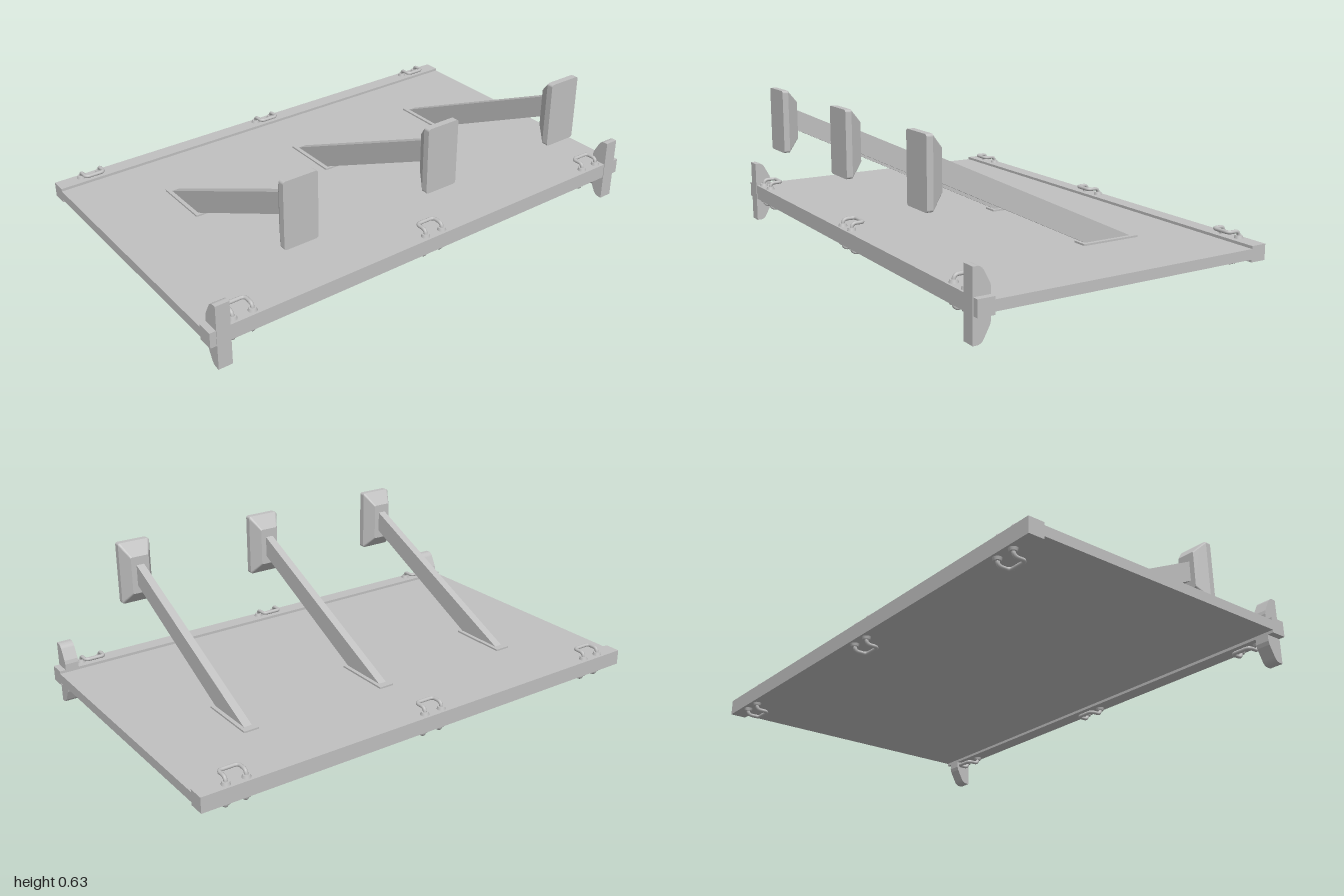
import * as THREE from 'three';

export function createModel() {
  const group = new THREE.Group();
  const grey = new THREE.MeshStandardMaterial({ color: 0xc0c0c0 });

  const add = (name, geo, x = 0, y = 0, z = 0, parent = group) => {
    const mesh = new THREE.Mesh(geo, grey);
    mesh.name = name;
    mesh.position.set(x, y, z);
    parent.add(mesh);
    return mesh;
  };

  // Extrude a (z, y) side profile across x, centred on x = 0
  const sideExtrude = (shape, width) => {
    const geo = new THREE.ExtrudeGeometry(shape, { depth: width, bevelEnabled: false, curveSegments: 8 });
    return geo.translate(0, 0, -width / 2).rotateY(-Math.PI / 2);
  };

  const roundedRect = (w, h, r) => {
    const s = new THREE.Shape();
    s.absarc(w - r, h - r, r, 0, Math.PI / 2);
    s.absarc(-w + r, h - r, r, Math.PI / 2, Math.PI);
    s.absarc(-w + r, -h + r, r, Math.PI, Math.PI * 1.5);
    s.absarc(w - r, -h + r, r, Math.PI * 1.5, Math.PI * 2);
    return s;
  };

  // Deck panel and its two edge beams
  add('deckPanel', new THREE.BoxGeometry(2, 0.04, 1.12), 0, 0.13, 0);
  for (const s of [-1, 1]) {
    add(s > 0 ? 'frontBeam' : 'backBeam', new THREE.BoxGeometry(2, 0.062, 0.065), 0, 0.13, s * 0.585);
  }

  // Slanted struts with foot plates and tapered pads
  const strutShape = new THREE.Shape([
    [0.56, 0.463], [0.56, 0.55], [-0.295, 0.15], [-0.085, 0.15],
  ].map(([z, y]) => new THREE.Vector2(z, y)));
  const strutGeo = sideExtrude(strutShape, 0.034);

  const padGeo = new THREE.ExtrudeGeometry(roundedRect(0.07, 0.132, 0.01), {
    depth: 0.075, steps: 3, bevelEnabled: false, curveSegments: 4,
  });
  const pos = padGeo.attributes.position;
  for (let i = 0; i < pos.count; i++) {
    const t = Math.min(1, pos.getZ(i) / 0.05);
    pos.setX(i, pos.getX(i) * (0.57 + 0.43 * t));
    pos.setY(i, pos.getY(i) * (0.6 + 0.4 * t));
  }
  padGeo.computeVertexNormals();

  const plateGeo = new THREE.ExtrudeGeometry(roundedRect(0.033, 0.127, 0.006), {
    depth: 0.007, bevelEnabled: false, curveSegments: 4,
  }).rotateX(-Math.PI / 2);

  for (const x of [-0.627, -0.005, 0.617]) {
    const support = new THREE.Group();
    support.name = 'support';
    support.position.x = x;
    group.add(support);
    add('strut', strutGeo, 0, 0, 0, support);
    add('footPlate', plateGeo, 0, 0.15, -0.183, support);
    add('strutPad', padGeo, 0, 0.5, 0.545, support);
  }

  // Corner feet that straddle the front beam
  const foot = new THREE.Shape();
  foot.moveTo(0.62, -0.13);
  foot.lineTo(0.62, 0.13);
  foot.lineTo(0.603, 0.13);
  foot.quadraticCurveTo(0.588, 0.128, 0.58, 0.115);
  foot.lineTo(0.556, 0.07);
  foot.lineTo(0.552, 0.055);
  foot.lineTo(0.552, -0.055);
  foot.lineTo(0.556, -0.07);
  foot.lineTo(0.58, -0.115);
  foot.quadraticCurveTo(0.588, -0.128, 0.603, -0.13);
  foot.closePath();
  const footGeo = sideExtrude(foot, 0.056);
  for (const s of [-1, 1]) add('cornerFoot', footGeo, s * 0.947, 0.13, 0);

  // Bent-bar handles above and below each beam
  const v = (x, y, z) => new THREE.Vector3(x, y, z);
  const path = new THREE.CurvePath();
  const knots = [
    v(-0.04, 0.025, 0.593), v(-0.04, 0.058, 0.59), v(-0.04, 0.058, 0.54),
    v(0.04, 0.058, 0.54), v(0.04, 0.058, 0.59), v(0.04, 0.025, 0.593),
  ];
  let last = knots[0];
  for (let i = 1; i < knots.length - 1; i++) {
    const toward = (k) => knots[i].clone().add(k.clone().sub(knots[i]).setLength(0.017));
    const a = toward(knots[i - 1]), b = toward(knots[i + 1]);
    path.add(new THREE.LineCurve3(last, a));
    path.add(new THREE.QuadraticBezierCurve3(a, knots[i], b));
    last = b;
  }
  path.add(new THREE.LineCurve3(last, knots[5]));
  const barGeo = new THREE.TubeGeometry(path, 60, 0.0075, 10);
  const collarGeo = new THREE.CylinderGeometry(0.014, 0.018, 0.012, 16);

  for (const end of [-1, 1]) {
    for (const side of [-1, 1]) {
      for (const x of [-0.855, -0.005, 0.85]) {
        const handle = new THREE.Group();
        handle.name = 'handle';
        handle.position.set(x, 0.13, 0);
        // Turn rather than mirror, so faces keep their winding
        if (end < 0 && side > 0) handle.rotation.y = Math.PI;
        if (end > 0 && side < 0) handle.rotation.z = Math.PI;
        if (end < 0 && side < 0) handle.rotation.x = Math.PI;
        group.add(handle);
        add('handleBar', barGeo, 0, 0, 0, handle);
        for (const s of [-1, 1]) add('handleCollar', collarGeo, s * 0.04, 0.036, 0.592, handle);
      }
    }
  }
  return group;
}
